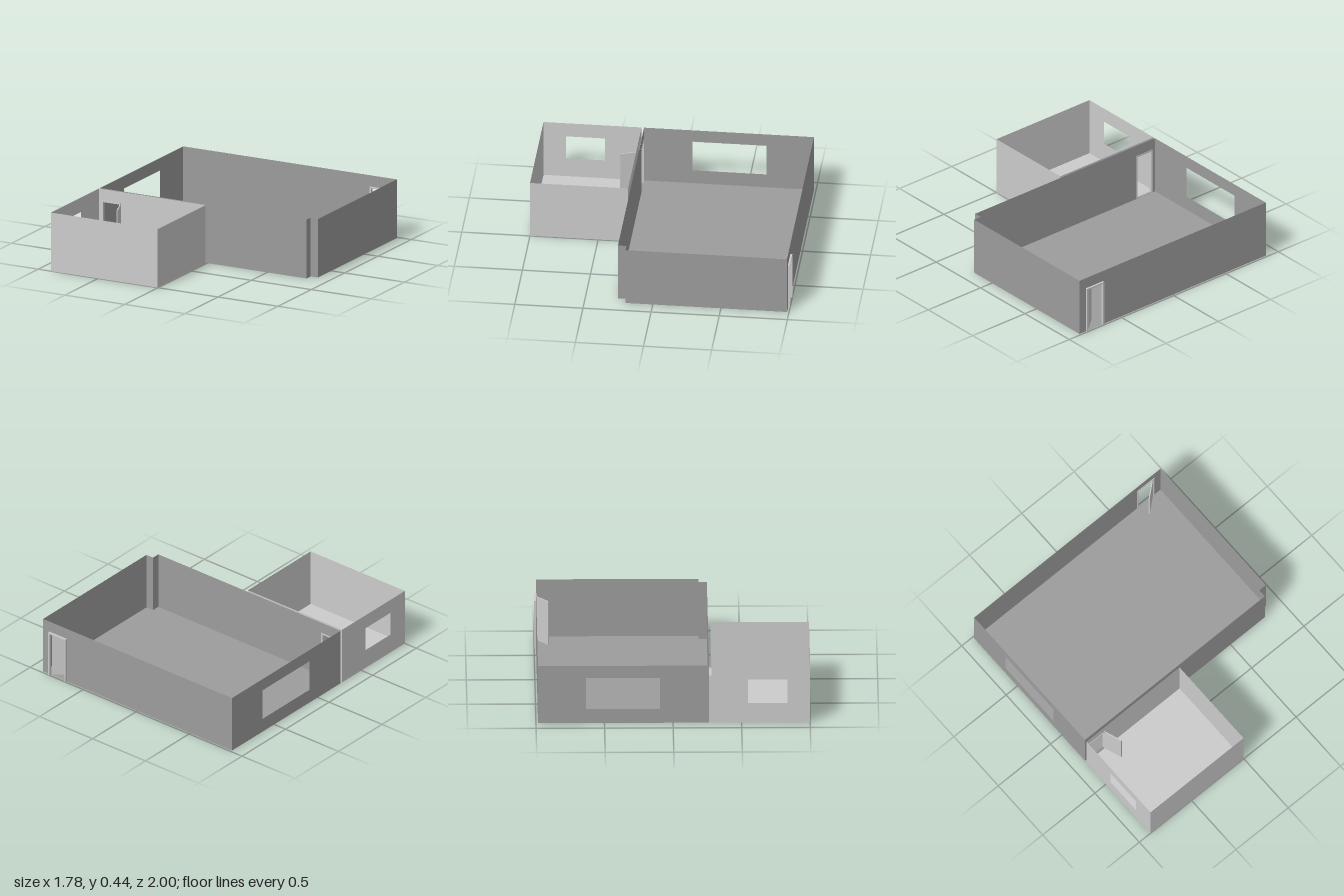
import * as THREE from 'three';

const H = 0.445;          // wall height
const DOOR_H = 0.36;      // outer height of a door frame
const JAMB = 0.012;       // frame bar width

const dark = new THREE.MeshStandardMaterial({ color: 0x9c9c9c, side: THREE.DoubleSide });
const light = new THREE.MeshStandardMaterial({ color: 0xcccccc, side: THREE.DoubleSide });

function rectPath(path, u0, u1, y0, y1) {
  path.moveTo(u0, y0);
  path.lineTo(u1, y0);
  path.lineTo(u1, y1);
  path.lineTo(u0, y1);
  path.closePath();
  return path;
}

// Thin upright wall between two plan points; openings are [u0, u1, y0, y1] along it
function wall(name, a, b, material, openings = []) {
  const dx = b[0] - a[0], dz = b[1] - a[1];
  const shape = rectPath(new THREE.Shape(), 0, Math.hypot(dx, dz), 0, H);
  for (const o of openings) shape.holes.push(rectPath(new THREE.Path(), ...o));
  const mesh = new THREE.Mesh(new THREE.ShapeGeometry(shape), material);
  mesh.rotation.y = -Math.atan2(dz, dx);
  mesh.position.set(a[0], 0, a[1]);
  mesh.name = name;
  return mesh;
}

// Room from a plan outline: flat floor plus one wall per side
function room(name, points, material, openings) {
  const group = new THREE.Group();
  group.name = name;
  const plan = new THREE.Shape(points.map(([x, z]) => new THREE.Vector2(x, -z)));
  const floor = new THREE.Mesh(new THREE.ShapeGeometry(plan).rotateX(-Math.PI / 2), material);
  floor.name = 'floor';
  group.add(floor);
  points.forEach((p, i) => {
    const q = points[(i + 1) % points.length];
    group.add(wall('wall' + (i + 1), p, q, material, openings[i]));
  });
  return group;
}

function box(name, x0, x1, y0, y1, z0, z1) {
  const mesh = new THREE.Mesh(new THREE.BoxGeometry(x1 - x0, y1 - y0, z1 - z0), light);
  mesh.position.set((x0 + x1) / 2, (y0 + y1) / 2, (z0 + z1) / 2);
  mesh.name = name;
  return mesh;
}

// Frame of three bars and a leaf swung open from hinge to tip
function door(name, x0, x1, z0, z1, hinge, tip) {
  const group = new THREE.Group();
  group.name = name;
  group.add(
    box('jamb', x0, x0 + JAMB, 0, DOOR_H, z0, z1),
    box('jamb', x1 - JAMB, x1, 0, DOOR_H, z0, z1),
    box('lintel', x0 + JAMB, x1 - JAMB, DOOR_H - JAMB, DOOR_H, z0, z1)
  );
  const dx = tip[0] - hinge[0], dz = tip[1] - hinge[1];
  const leaf = box('leaf', 0, Math.hypot(dx, dz), 0.005, DOOR_H - JAMB - 0.005, -0.004, 0.004);
  const pivot = new THREE.Group();
  pivot.name = 'doorLeaf';
  pivot.position.set(hinge[0], 0, hinge[1]);
  pivot.rotation.y = -Math.atan2(dz, dx);
  pivot.add(leaf);
  group.add(pivot);
  return group;
}

export function createModel() {
  const model = new THREE.Group();
  model.name = 'floorPlan';
  const top = DOOR_H - JAMB;

  // Large room with a notched corner, a window and two doorways
  model.add(room('largeRoom', [
    [-0.893, -0.985], [-0.893, 0.262], [0.828, 0.262],
    [0.828, 0.2], [0.89, 0.2], [0.89, -0.985]
  ], dark, {
    0: [[0.35, 0.89, 0.108, 0.35]],
    1: [[0.035, 0.171, 0.001, top]],
    5: [[0.072, 0.213, 0.001, top]]
  }));

  // Small room with a window and a doorway
  model.add(room('smallRoom', [
    [-0.893, 0.28], [-0.893, 1], [-0.003, 1], [-0.003, 0.28]
  ], light, {
    0: [[0.267, 0.555, 0.15, 0.335]],
    3: [[0.719, 0.855, 0.001, top]]
  }));

  model.add(door('backDoor', 0.665, 0.83, -1, -0.98, [0.81, -0.983], [0.706, -0.895]));
  model.add(door('innerDoor', -0.87, -0.71, 0.26, 0.284, [-0.716, 0.284], [-0.67, 0.411]));
  return model;
}
